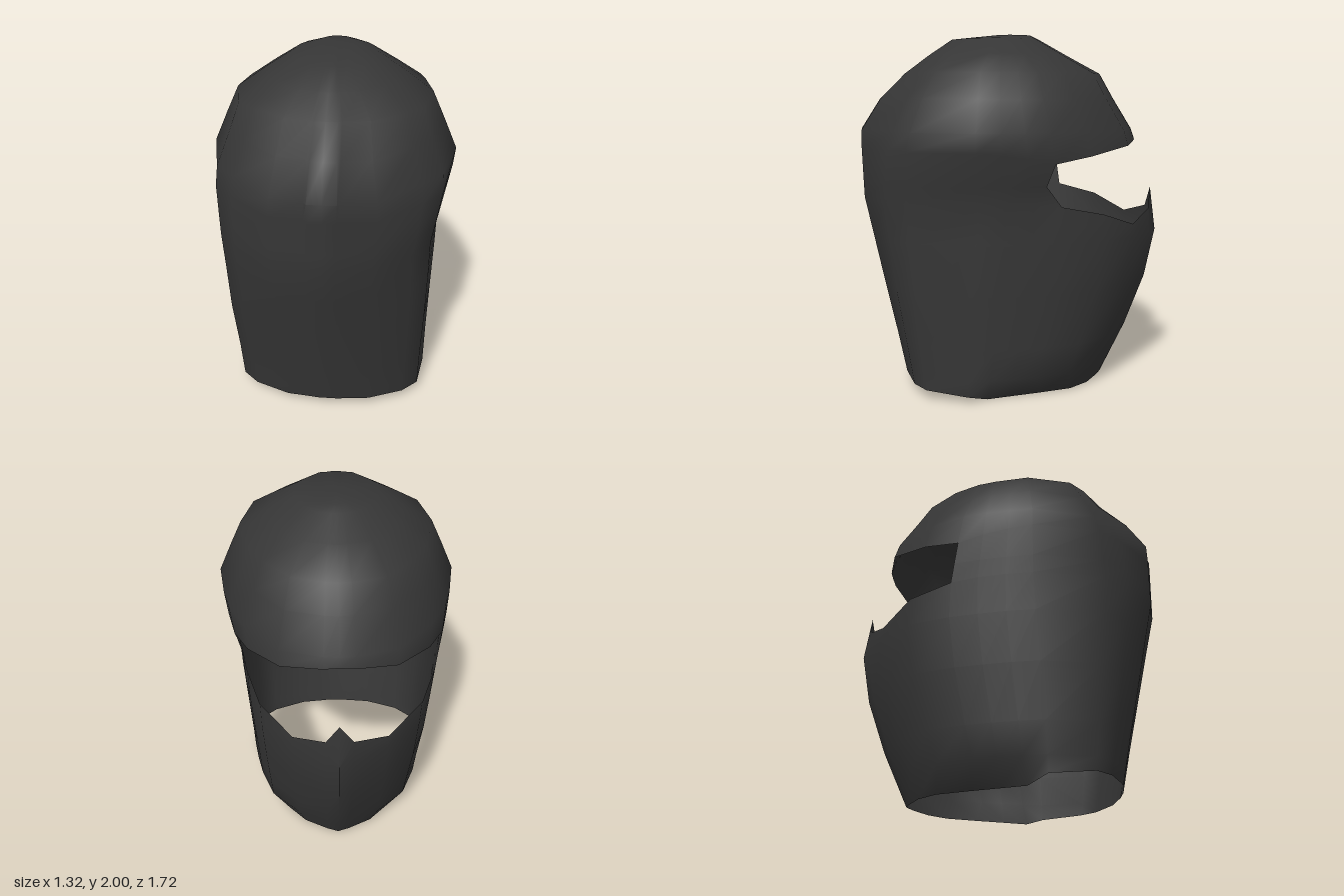
import * as THREE from 'three';
import { toCreasedNormals } from 'three/addons/utils/BufferGeometryUtils.js';

const { lerp } = THREE.MathUtils;

// Cross-section sizes by height: y, half width +x, half width -x, back z, face z, z of widest point,
// roundness of the back, bluntness of the face
const LEVELS = [
  [0, 0.555, 0.56, 0.6, -0.55, 0.2, 0, 0.3],
  [0.3, 0.56, 0.575, 0.665, -0.69, 0.19, 0, 0.1],
  [0.6, 0.57, 0.6, 0.735, -0.8, 0.17, 0, 0],
  [0.88, 0.58, 0.615, 0.8, -0.855, 0.15, 0.2, 0],
  [1.09, 0.585, 0.63, 0.85, -0.835, 0.14, 0.4, 0],
  [1.19, 0.61, 0.64, 0.853, -0.8, 0.14, 0.6, 0.5],
  [1.31, 0.635, 0.65, 0.857, -0.76, 0.14, 0.8, 1],
  [1.37, 0.65, 0.655, 0.858, -0.735, 0.14, 0.9, 1],
  [1.47, 0.66, 0.66, 0.86, -0.7, 0.14, 1.4, 1],
  [1.64, 0.585, 0.585, 0.75, -0.595, 0.13, 1.3, 1],
  [1.78, 0.52, 0.52, 0.6, -0.515, 0.12, 0.8, 1],
  [1.88, 0.37, 0.37, 0.47, -0.33, 0.09, 0.8, 1],
  [1.97, 0.225, 0.225, 0.34, -0.17, 0.07, 1, 1],
  [1.995, 0.1, 0.1, 0.1, -0.12, 0, 1, 1],
];

// Half outline from back to face: x, z (lower shell), x, z (upper shell), rim y, lower and upper edge of the eye opening
const COLUMNS = [
  [0, 1, 0, 1, 0.06, 1.09, 1.37],
  [0.11, 1, 0.11, 1, 0.06, 1.09, 1.37],
  [0.15, 0.99, 0.14, 0.975, 0.06, 1.09, 1.37],
  [0.42, 0.95, 0.4, 0.94, 0.06, 1.09, 1.37],
  [0.77, 0.76, 0.73, 0.67, 0.06, 1.09, 1.37],
  [0.93, 0.56, 0.89, 0.5, 0.06, 1.09, 1.37],
  [1, 0, 1, 0, 0.04, 1.09, 1.37],
  [0.97, -0.15, 0.965, -0.15, 0, 1.09, 1.36],
  [0.92, -0.3, 0.93, -0.3, 0, 1.09, 1.34],
  [0.86, -0.45, 0.875, -0.45, 0, 1.08, 1.31],
  [0.72, -0.68, 0.73, -0.67, 0, 1.03, 1.345],
  [0.42, -0.85, 0.45, -0.92, 0, 0.95, 1.39],
  [0.12, -0.96, 0.12, -0.99, 0, 1.01, 1.41],
  [0, -1, 0, -1, 0, 1.13, 1.42],
];
const FACE = COLUMNS.length - 1;
const OPEN_FROM = 9;          // first column beside the eye opening
const MID = 6;                // row halfway up the eye opening

// Rim under the jaw, x and z for columns 7 to 11
const JAW_FROM = 7;
const JAW = [[0.48, 0.1], [0.43, -0.03], [0.37, -0.19], [0.3, -0.36], [0.2, -0.46]];

function levelAt(y) {
  let i = 0;
  while (i < LEVELS.length - 2 && y > LEVELS[i + 1][0]) i++;
  const a = LEVELS[i], b = LEVELS[i + 1];
  const t = (y - a[0]) / (b[0] - a[0]);
  return a.map((v, k) => lerp(v, b[k], t));
}

function shellPoint(c, side, y, row) {
  const jaw = JAW[c - JAW_FROM];
  if (row === 0 && jaw) return [side * jaw[0], y, jaw[1]];
  const [lowX, lowZ, highX, highZ] = COLUMNS[c];
  const [, left, right, back, face, mid, round, blunt] = levelAt(y);
  const t = lowZ > 0 ? round : blunt;
  const x = lerp(lowX, highX, t) * (side > 0 ? left : right) * side;
  const f = lerp(lowZ, highZ, t);
  // Notch in one corner of the eye opening
  if (row === MID && c === OPEN_FROM && side > 0) return [x, y, -0.22];
  return [x, y, mid + (f > 0 ? f * (back - mid) : f * (mid - face))];
}

function shellGeometry() {
  // Walk round the shell: back, +x side, face, -x side
  const loop = [];
  for (let c = 0; c <= FACE; c++) loop.push([c, 1]);
  for (let c = FACE - 1; c > 0; c--) loop.push([c, -1]);
  const n = loop.length;

  const rowHeights = ([, , , , rim, low, high]) =>
    [rim, 0.13, 0.3, 0.6, 0.88, low, 1.19, high, 1.47, 1.64, 1.78, 1.88, 1.97, 1.995];
  const rows = rowHeights(COLUMNS[0]).length;

  const positions = [], index = [];
  for (let r = 0; r < rows; r++) {
    for (const [c, side] of loop) positions.push(...shellPoint(c, side, rowHeights(COLUMNS[c])[r], r));
  }
  const apex = positions.length / 3;
  positions.push(0, 2, 0);

  for (let i = 0; i < n; i++) {
    const k = (i + 1) % n;
    const open = loop[i][0] >= OPEN_FROM && loop[k][0] >= OPEN_FROM;
    for (let r = 0; r < rows - 1; r++) {
      if (open && (r === MID - 1 || r === MID)) continue;         // eye opening
      const a = r * n + i, b = r * n + k;
      index.push(a, b, b + n, a, b + n, a + n);
    }
    index.push((rows - 1) * n + i, (rows - 1) * n + k, apex);
  }

  const geometry = new THREE.BufferGeometry();
  geometry.setAttribute('position', new THREE.Float32BufferAttribute(positions, 3));
  geometry.setIndex(index);
  return toCreasedNormals(geometry, 0.95);
}

export function createModel() {
  const charcoal = new THREE.MeshStandardMaterial({ color: 0x363636, side: THREE.DoubleSide });
  charcoal.name = 'charcoal';

  const model = new THREE.Group();
  model.name = 'helmet';
  const shell = new THREE.Mesh(shellGeometry(), charcoal);
  shell.name = 'helmetShell';
  model.add(shell);
  return model;
}
